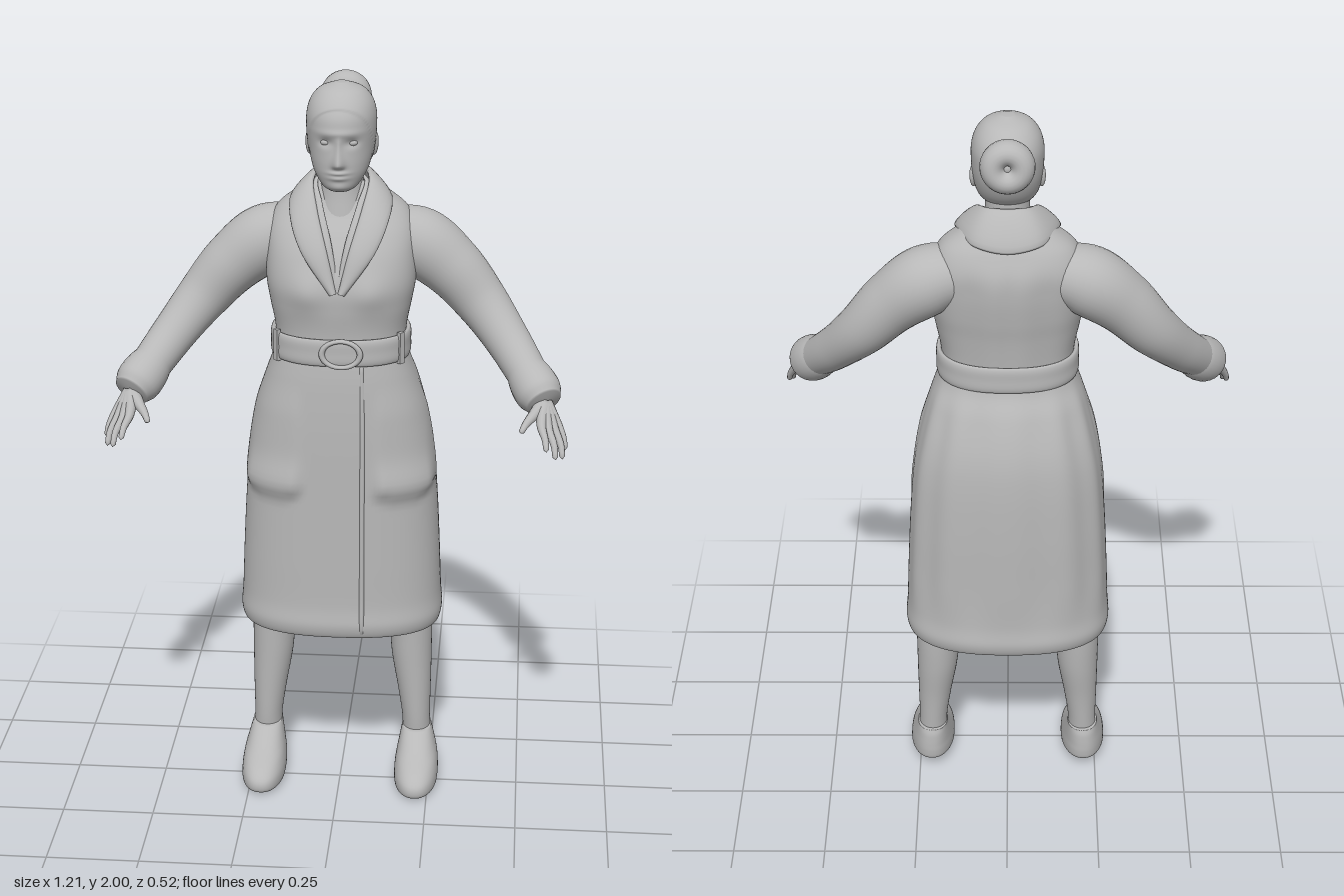
import * as THREE from 'three';

const grey = new THREE.MeshStandardMaterial({ name: 'plain grey', color: 0xb8b8b8, side: THREE.DoubleSide });

const bell = (v, c, w) => Math.exp(-(((v - c) / w) ** 2));
const step = (v, a, b) => THREE.MathUtils.smoothstep(v, a, b);
const V = (p) => new THREE.Vector3(...p);

// Closed-ring surface: at(i, j) gives the point on ring i at step j
function rings(rows, cols, at) {
  const pos = [], index = [];
  for (let i = 0; i <= rows; i++) for (let j = 0; j < cols; j++) pos.push(...at(i, j));
  for (let i = 0; i < rows; i++) for (let j = 0; j < cols; j++) {
    const a = i * cols + j, b = i * cols + (j + 1) % cols, c = a + cols, d = b + cols;
    index.push(a, c, b, b, c, d);
  }
  const geo = new THREE.BufferGeometry();
  geo.setAttribute('position', new THREE.Float32BufferAttribute(pos, 3));
  geo.setIndex(index);
  geo.computeVertexNormals();
  return geo;
}

// Smooth value of column k of a table at t in 0..1
function sample(table, k, t) {
  const f = t * (table.length - 1), i = Math.min(Math.floor(f), table.length - 2), u = f - i;
  const v = (n) => table[THREE.MathUtils.clamp(n, 0, table.length - 1)][k] ?? 0;
  const m0 = (v(i + 1) - v(i - 1)) / 2, m1 = (v(i + 2) - v(i)) / 2;
  return v(i) * (2 * u ** 3 - 3 * u * u + 1) + m0 * (u ** 3 - 2 * u * u + u)
    + v(i + 1) * (3 * u * u - 2 * u ** 3) + m1 * (u ** 3 - u * u);
}

// Upright body from rows of [y, half width, front z, back z, centre x]
function body(table, { rows = 40, cols = 64, power = 1, cap = false, bump } = {}) {
  return rings(rows, cols, (i, j) => {
    const t = cap ? THREE.MathUtils.clamp((i - 1) / (rows - 2), 0, 1) : i / rows;
    const [y, rx, zf, zb, xc] = [0, 1, 2, 3, 4].map((k) => sample(table, k, t));
    const size = cap && (i === 0 || i === rows) ? 0 : 1;
    const a = j / cols * Math.PI * 2, c = Math.cos(a), s = Math.sin(a);
    const p = [
      xc + size * rx * Math.sign(c) * Math.abs(c) ** power, y,
      (zf + zb) / 2 + size * (zf - zb) / 2 * Math.sign(s) * Math.abs(s) ** power,
    ];
    if (bump) bump(p, c, s);
    return p;
  });
}

// Round limb along points with a radius at each
function limb(points, radii, rows = 32, cols = 24) {
  const curve = new THREE.CatmullRomCurve3(points.map(V));
  const frames = curve.computeFrenetFrames(rows);
  const table = radii.map((r) => [r]);
  return rings(rows, cols, (i, j) => {
    const a = j / cols * Math.PI * 2, end = i === 0 || i === rows;
    const r = end ? 0 : sample(table, 0, i / rows);
    return curve.getPointAt(i / rows).addScaledVector(frames.normals[i], r * Math.cos(a))
      .addScaledVector(frames.binormals[i], -r * Math.sin(a)).toArray();
  });
}

// Padded band between an inner and an outer edge, mirrored across x
function band(inner, outer, thick, rows = 72, cols = 16) {
  const whole = (pts) => new THREE.CatmullRomCurve3(
    [...pts, ...pts.slice(0, -1).reverse().map(([x, y, z]) => [-x, y, z])].map(V));
  const A = whole(inner), B = whole(outer);
  return rings(rows, cols, (i, j) => {
    const t = i / rows, a = j / cols * Math.PI * 2;
    const p = A.getPoint(t), q = B.getPoint(t);
    const half = q.clone().sub(p).multiplyScalar(0.5);
    const side = half.clone().cross(A.getTangent(t)).normalize();
    return p.add(half).addScaledVector(half, Math.cos(a)).addScaledVector(side, thick * Math.sin(a)).toArray();
  });
}

function mirrored(geo) {
  const g = geo.clone().scale(-1, 1, 1), ix = g.index.array;
  for (let i = 0; i < ix.length; i += 3) [ix[i], ix[i + 1]] = [ix[i + 1], ix[i]];
  g.computeVertexNormals();
  return g;
}

export function createModel() {
  const model = new THREE.Group();
  model.name = 'woman in long coat';
  const add = (name, geo) => {
    const mesh = new THREE.Mesh(geo, grey);
    mesh.name = name;
    model.add(mesh);
  };
  const pair = (name, geo) => {
    add(name + 'Left', geo);
    add(name + 'Right', mirrored(geo));
  };

  // Coat skirt: turned-in hem, pockets and soft back folds
  add('coatSkirt', body([
    [0.6, 0.25, 0.08, -0.23], [0.5, 0.258, 0.085, -0.24], [0.487, 0.27, 0.095, -0.252],
    [0.52, 0.279, 0.104, -0.262], [0.58, 0.275, 0.099, -0.256], [0.7, 0.27, 0.099, -0.255],
    [0.85, 0.262, 0.099, -0.255], [1, 0.25, 0.099, -0.25], [1.1, 0.232, 0.098, -0.237],
    [1.2, 0.206, 0.094, -0.206], [1.26, 0.185, 0.089, -0.178], [1.31, 0.17, 0.082, -0.165],
  ], {
    rows: 100, cols: 160, power: 0.82, bump(p, c, s) {
      const [x, y] = p, ax = Math.abs(x);
      const near = step(y, 0.5, 0.7) * step(1.3 - y, 0, 0.15);
      let push = 0;
      if (s > 0) {
        const pocket = step(ax, 0.08, 0.12) * step(0.265 - ax, 0, 0.04)
          * step(y, 0.865 + 0.6 * Math.max(0, Math.abs(ax - 0.175) - 0.03), 0.925) * step(1.22 - y, 0, 0.1);
        push = pocket * (0.005 + 0.014 * bell(y, 0.93, 0.055));
      } else {
        push = 0.0035 * Math.sin(Math.atan2(s, c) * 11) * step(-s, 0.1, 0.5) * near;
      }
      p[0] += push * c;
      p[2] += push * s;
    },
  }));
  // Rolled front edge of the coat
  add('coatFrontEdge', limb([
    [0.066, 0.49, 0.09], [0.066, 0.52, 0.097], [0.066, 0.6, 0.094], [0.066, 0.85, 0.094],
    [0.066, 1.1, 0.091], [0.062, 1.28, 0.079],
  ], [0.007, 0.007, 0.007], 60, 12));

  // Coat bodice
  add('coatBodice', body([
    [1.27, 0.17, 0.085, -0.165], [1.35, 0.174, 0.087, -0.172], [1.42, 0.187, 0.094, -0.18],
    [1.48, 0.197, 0.094, -0.19], [1.55, 0.198, 0.076, -0.198], [1.61, 0.194, 0.044, -0.197],
    [1.66, 0.172, 0.008, -0.18], [1.7, 0.125, -0.012, -0.157], [1.74, 0.075, -0.03, -0.125],
  ], {
    rows: 60, cols: 112, power: 0.85, bump(p, c, s) {
      const [x, y] = p;
      if (s > 0) {
        p[2] += 0.012 * bell(Math.abs(x), 0.085, 0.05) * bell(y, 1.47, 0.05);
        p[2] += 0.004 * step(0.01 - x, -0.004, 0.004) * step(x, -0.15, 0) * step(1.55 - y, 0, 0.05);
      } else p[2] -= 0.003 * Math.sin(Math.abs(x) * 50) * step(-s, 0.2, 0.6) * step(1.66 - y, 0, 0.1);
    },
  }));

  // Belt, oval buckle and loops
  add('belt', body([
    [1.285, 0.165, 0.08, -0.16], [1.273, 0.18, 0.095, -0.177], [1.285, 0.186, 0.101, -0.183],
    [1.31, 0.186, 0.101, -0.183], [1.335, 0.186, 0.101, -0.183], [1.347, 0.18, 0.095, -0.177],
    [1.335, 0.165, 0.08, -0.16],
  ], { rows: 24, cols: 96, power: 0.85 }));
  add('buckle', new THREE.TorusGeometry(0.05, 0.008, 12, 48).scale(1, 0.72, 1).translate(0.01, 1.31, 0.103));
  pair('beltLoop', new THREE.BoxGeometry(0.016, 0.086, 0.012).rotateY(0.85).translate(0.163, 1.312, 0.04));

  // Wide collar with lapels and the inner collar
  add('coatCollar', band(
    [[0.002, 1.475, 0.098], [0.028, 1.58, 0.078], [0.058, 1.68, 0.02], [0.072, 1.745, -0.045],
      [0.052, 1.768, -0.105], [0, 1.772, -0.122]],
    [[0.02, 1.47, 0.102], [0.095, 1.575, 0.074], [0.126, 1.645, 0.026], [0.132, 1.69, -0.055],
      [0.085, 1.686, -0.158], [0, 1.676, -0.182]], 0.012));
  add('innerCollar', band(
    [[0.003, 1.52, 0.082], [0.018, 1.6, 0.06], [0.045, 1.69, 0.008], [0.06, 1.745, -0.05], [0, 1.758, -0.118]],
    [[0.012, 1.5, 0.09], [0.04, 1.59, 0.07], [0.066, 1.67, 0.015], [0.078, 1.72, -0.05], [0, 1.73, -0.135]], 0.006));

  // Sleeves growing out of the shoulders, with softly padded cuffs
  pair('sleeve', limb([
    [0.1, 1.585, -0.095], [0.19, 1.568, -0.1], [0.29, 1.497, -0.09], [0.37, 1.408, -0.072],
    [0.445, 1.318, -0.012], [0.505, 1.243, 0.065], [0.533, 1.208, 0.105],
  ], [0.07, 0.091, 0.082, 0.071, 0.061, 0.055, 0.05], 44, 32));
  pair('cuff', limb([[0.485, 1.268, 0.04], [0.508, 1.24, 0.07], [0.528, 1.216, 0.1], [0.544, 1.197, 0.125]],
    [0.05, 0.058, 0.062, 0.06, 0.046], 24, 28));

  // Hands: each finger runs from the wrist through its knuckle
  const wrist = [0.542, 1.2, 0.118];
  const fingers = {
    indexFinger: [[0.536, 1.16, 0.19], [0.546, 1.138, 0.23], [0.55, 1.115, 0.258]],
    middleFinger: [[0.553, 1.152, 0.186], [0.569, 1.122, 0.222], [0.574, 1.09, 0.248]],
    ringFinger: [[0.569, 1.148, 0.175], [0.587, 1.115, 0.203], [0.592, 1.083, 0.223]],
    littleFinger: [[0.58, 1.15, 0.16], [0.594, 1.122, 0.178], [0.599, 1.097, 0.192]],
  };
  for (const [name, pts] of Object.entries(fingers))
    pair(name, limb([wrist, ...pts], [0.021, 0.015, 0.01, 0.007], 20, 12));
  pair('thumb', limb([wrist, [0.513, 1.178, 0.165], [0.495, 1.165, 0.195], [0.483, 1.15, 0.22]],
    [0.02, 0.016, 0.011, 0.007], 20, 12));

  // Legs
  pair('leg', body([
    [0.09, 0.04, -0.045, -0.13, 0.213], [0.16, 0.039, -0.038, -0.135, 0.211], [0.25, 0.046, -0.034, -0.143, 0.205],
    [0.36, 0.056, -0.03, -0.158, 0.196], [0.48, 0.061, -0.025, -0.165, 0.19], [0.62, 0.07, -0.01, -0.165, 0.17],
  ], { cols: 40 }));

  // Shoes: low toe, slightly lifted heel
  pair('shoe', body([
    [0.002, 0.047, 0.11, -0.13, 0.215], [0.012, 0.06, 0.128, -0.146, 0.216], [0.04, 0.061, 0.126, -0.15, 0.216],
    [0.066, 0.057, 0.095, -0.15, 0.216], [0.09, 0.051, 0.045, -0.149, 0.215], [0.115, 0.045, 0, -0.147, 0.214],
    [0.135, 0.041, -0.034, -0.142, 0.213],
  ], {
    rows: 28, cols: 56, power: 0.88, cap: true,
    bump(p) { p[1] += 0.03 * step(-p[2], -0.05, 0.14) * (1 - p[1] / 0.15); },
  }));

  // Neck
  add('neck', body([
    [1.55, 0.08, 0.03, -0.13], [1.65, 0.07, 0.012, -0.125], [1.72, 0.058, 0, -0.115], [1.81, 0.056, -0.005, -0.115],
  ], { rows: 16, cols: 40 }));

  // Head: face features and the raised edge of swept-back hair
  add('head', body([
    [1.728, 0.026, 0.032, -0.015], [1.74, 0.046, 0.044, -0.05], [1.77, 0.067, 0.052, -0.1],
    [1.8, 0.078, 0.054, -0.132], [1.84, 0.085, 0.053, -0.154], [1.88, 0.088, 0.056, -0.163],
    [1.92, 0.087, 0.051, -0.162], [1.955, 0.076, 0.03, -0.142], [1.982, 0.052, 0, -0.11], [1.997, 0.016, -0.036, -0.069],
  ], {
    rows: 96, cols: 104, cap: true, bump(p, c, s) {
      const [x, y, z] = p, ax = Math.abs(x);
      if (s > 0) {
        p[2] += 0.021 * bell(x, 0, 0.006 + 0.008 * step(1.86 - y, 0, 0.05))
          * THREE.MathUtils.clamp((1.878 - y) / 0.07, 0, 1) * step(y, 1.788, 1.804);
        p[2] -= 0.009 * bell(ax, 0.034, 0.018) * bell(y, 1.859, 0.012);
        p[2] += 0.004 * bell(x, 0, 0.06) * bell(y, 1.884, 0.009);
        p[2] += 0.006 * bell(x, 0, 0.024) * (bell(y, 1.781, 0.005) + bell(y, 1.767, 0.006));
        p[2] += 0.005 * bell(x, 0, 0.025) * bell(y, 1.742, 0.012);
      }
      const hair = 0.003 * step(y - 1.945 + 1.6 * (0.04 - z), -0.005, 0.005) * step(y, 1.75, 1.8) * step(1.995 - y, 0, 0.02);
      p[0] += hair * c;
      p[2] += hair * s;
    },
  }));
  pair('eye', new THREE.SphereGeometry(0.0115, 20, 14).scale(1.2, 0.75, 1).translate(0.034, 1.858, 0.031));
  pair('ear', new THREE.SphereGeometry(1, 20, 16).scale(0.009, 0.031, 0.017).rotateX(-0.15).rotateY(-0.3).translate(0.085, 1.835, -0.06));

  // Ring-shaped hair bun
  add('hairBun', new THREE.TorusGeometry(0.036, 0.032, 20, 40).scale(1, 1, 1.2).rotateX(0.1).translate(0, 1.925, -0.202));
  add('bunCentre', new THREE.SphereGeometry(0.022, 16, 12).translate(0, 1.925, -0.2));

  return model;
}
